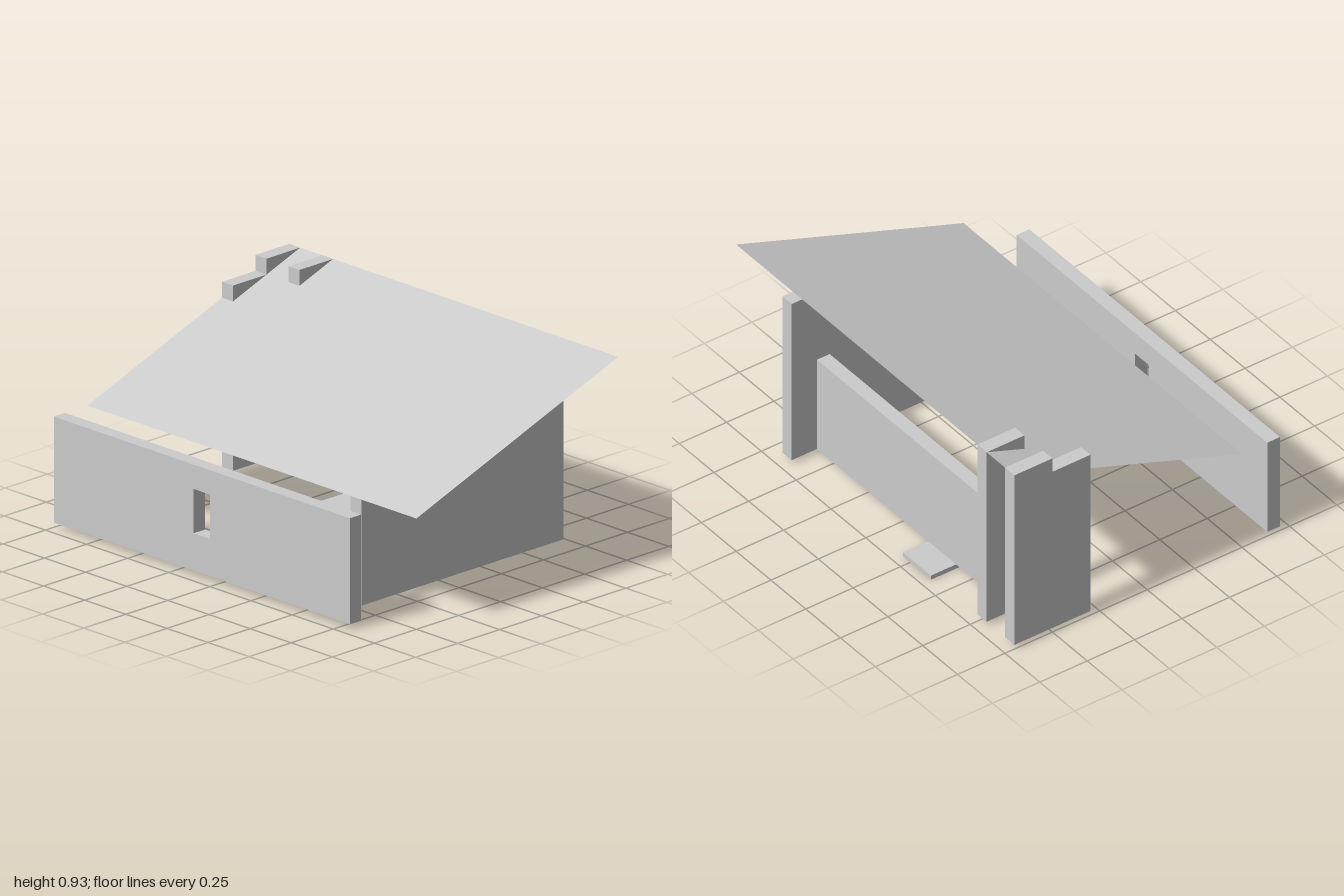
import * as THREE from 'three';

const BASE = 0.022;   // underside of the walls
const LOW = 0.5;      // height of the lowest wall tops
const STEP = 0.0717;  // rise of each stair-like wall step
const THICK = 0.067;  // wall thickness

export function createModel() {
  const group = new THREE.Group();
  const material = new THREE.MeshStandardMaterial({ color: 0xcccccc, flatShading: true });
  const sheet = new THREE.MeshStandardMaterial({ color: 0xcccccc, flatShading: true, side: THREE.DoubleSide });

  const add = (name, geometry, mat = material) => {
    const mesh = new THREE.Mesh(geometry, mat);
    mesh.name = name;
    group.add(mesh);
    return mesh;
  };

  // Box given by its lower and upper corners
  const box = (name, [x0, y0, z0], [x1, y1, z1]) =>
    add(name, new THREE.BoxGeometry(x1 - x0, y1 - y0, z1 - z0))
      .position.set((x0 + x1) / 2, (y0 + y1) / 2, (z0 + z1) / 2);

  // Wall along x whose top climbs in steps of 0.2 towards x = 0.7
  const steppedWall = (name, x0, firstTop, z0) => {
    const count = Math.round((0.7 - x0) / 0.2);
    const shape = new THREE.Shape();
    shape.moveTo(x0, BASE);
    shape.lineTo(0.7, BASE);
    for (let i = count - 1; i >= 0; i--) {
      const top = firstTop + i * STEP;
      shape.lineTo(x0 + (i + 1) * 0.2, top);
      shape.lineTo(x0 + i * 0.2, top);
    }
    shape.closePath();
    const geometry = new THREE.ExtrudeGeometry(shape, { depth: THICK, bevelEnabled: false });
    add(name, geometry).position.z = z0;
  };

  steppedWall('frontWall', -0.5, LOW, 0.6);
  steppedWall('backWall', 0.3, LOW + 5 * STEP, -1);
  steppedWall('backInnerWall', 0.5, LOW + 6 * STEP, -0.8);

  // Low wall between the front wall and the rear opening
  box('innerSideWall', [0.5, BASE, -0.6], [0.5 + THICK, LOW, 0.6]);

  // Freestanding long wall with a small window; drawn in (-z, y), turned along z
  const side = new THREE.Shape();
  side.moveTo(-0.8, BASE).lineTo(1, BASE).lineTo(1, LOW).lineTo(-0.8, LOW).closePath();
  const hole = new THREE.Path();
  hole.moveTo(0.05, 0.19).lineTo(0.05, 0.39).lineTo(0.15, 0.39).lineTo(0.15, 0.19).closePath();
  side.holes.push(hole);
  const sideGeometry = new THREE.ExtrudeGeometry(side, { depth: THICK, bevelEnabled: false });
  sideGeometry.rotateY(Math.PI / 2);
  add('windowWall', sideGeometry).position.x = -0.7;

  // Entrance strip on the ground
  box('entranceStrip', [-0.1, 0, -0.4], [0.7, BASE, -0.2]);

  // Thin sloping roof
  const rise = 6 * STEP;
  const roof = add('roof', new THREE.PlaneGeometry(Math.hypot(1.2, rise), 2).rotateX(-Math.PI / 2), sheet);
  roof.rotation.z = Math.atan2(rise, 1.2);
  roof.position.set(0.1, LOW + rise / 2, 0);

  return group;
}
